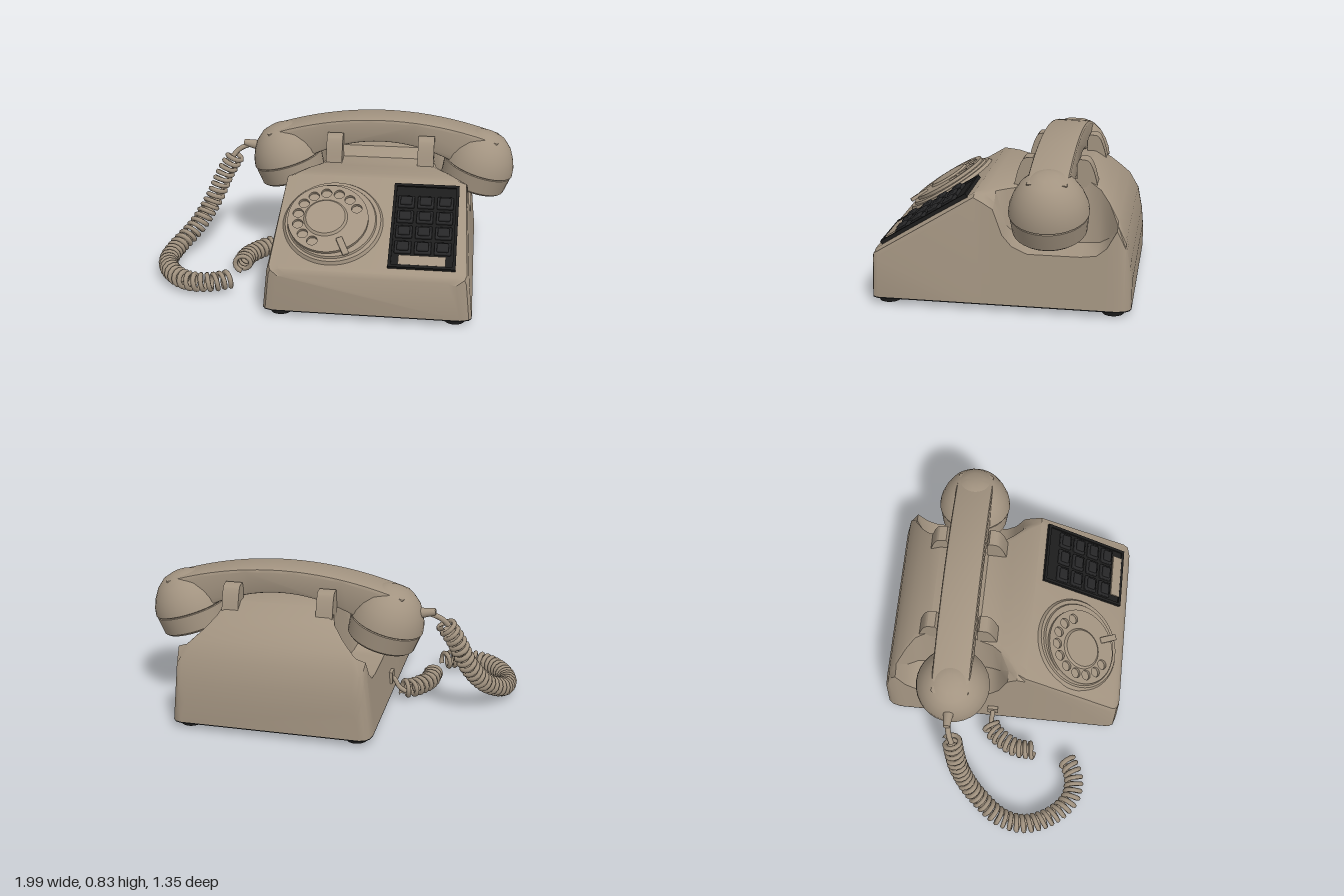
import * as THREE from 'three';
import { toCreasedNormals } from 'three/addons/utils/BufferGeometryUtils.js';
import { RoundedBoxGeometry } from 'three/addons/geometries/RoundedBoxGeometry.js';

const CX = 0.24;   // middle of body and handset
const HZ = -0.265; // handset axis
const tan = new THREE.MeshStandardMaterial({ color: 0xa39481 });
tan.name = 'tan plastic';
const black = new THREE.MeshStandardMaterial({ color: 0x1c1c1c });
black.name = 'black rubber';
const charcoal = new THREE.MeshStandardMaterial({ color: 0x262627 });
charcoal.name = 'charcoal key';
const V = (x, y, z) => new THREE.Vector3(x, y, z);

function add(parent, name, geometry, material, x = 0, y = 0, z = 0) {
  const mesh = new THREE.Mesh(geometry, material);
  mesh.name = name;
  mesh.position.set(x, y, z);
  parent.add(mesh);
  return mesh;
}

// Body sections, front to back: z, corner inset, shoulder y, foot x, foot y, top x, top y
const SECTIONS = [
  [0.67, 0.06, 0.22, 0.465, 0.24, 0.44, 0.25],
  [0.655, 0.015, 0.24, 0.505, 0.265, 0.48, 0.275],
  [0.63, 0, 0.25, 0.515, 0.28, 0.49, 0.291],
  [0.13, 0, 0.55, 0.49, 0.585, 0.465, 0.60],
  [0.08, 0, 0.56, 0.465, 0.58, 0.43, 0.605],
  [0.03, 0, 0.53, 0.44, 0.55, 0.39, 0.61],
  [-0.02, 0, 0.40, 0.40, 0.42, 0.345, 0.61],
  [-0.07, 0, 0.345, 0.37, 0.36, 0.31, 0.61],
  [-0.15, 0, 0.31, 0.35, 0.325, 0.29, 0.615],
  [-0.20, 0, 0.31, 0.345, 0.325, 0.285, 0.665],
  [-0.42, 0, 0.31, 0.345, 0.325, 0.285, 0.665],
  [-0.50, 0, 0.32, 0.36, 0.335, 0.31, 0.615],
  [-0.55, 0, 0.36, 0.40, 0.375, 0.36, 0.56],
  [-0.60, 0, 0.45, 0.46, 0.465, 0.43, 0.495],
  [-0.645, 0.01, 0.36, 0.495, 0.385, 0.47, 0.40],
  [-0.67, 0.03, 0.24, 0.485, 0.26, 0.465, 0.28],
  [-0.68, 0.06, 0.15, 0.465, 0.165, 0.45, 0.18],
];
const halfWidth = (y) => 0.55 - 0.105 * (y - 0.04);

function bodyGeometry() {
  const pos = [], idx = [];
  for (const [z, inset, ys, xf, yf, xt, yt] of SECTIONS) {
    const half = [[halfWidth(0.04) - inset, 0.04], [halfWidth(ys) - inset, ys], [xf, yf],
      [xt + 0.01, yt - 0.012], [xt - 0.02, yt]];
    const ring = [...half, ...half.slice().reverse().map(([x, y]) => [-x, y])];
    for (const [x, y] of ring) pos.push(CX + x, y, z);
  }
  const n = 10, last = (SECTIONS.length - 1) * n;
  for (let s = 0; s < SECTIONS.length - 1; s++) {
    for (let i = 0; i < n; i++) {
      const a = s * n + i, b = s * n + (i + 1) % n;
      idx.push(a, a + n, b, b, a + n, b + n);
    }
  }
  for (let i = 1; i < n - 1; i++) idx.push(0, i, i + 1, last, last + i + 1, last + i);
  const g = new THREE.BufferGeometry();
  g.setAttribute('position', new THREE.Float32BufferAttribute(pos, 3));
  g.setIndex(idx);
  return toCreasedNormals(g, 0.6);
}

// Plate following the bottom outline of the body
function basePlateGeometry() {
  const side = SECTIONS.map(([z, inset]) => [0.55 - inset, z]);
  const outline = [...side, ...side.slice().reverse().map(([x, z]) => [-x, z])];
  const shape = new THREE.Shape(outline.map(([x, z]) => new THREE.Vector2(CX + x, z)));
  return new THREE.ExtrudeGeometry(shape, { depth: 0.006, bevelEnabled: false }).rotateX(Math.PI / 2);
}

// Cradle prong, side profile extruded across x
function prongGeometry() {
  const s = new THREE.Shape();
  s.moveTo(0.225, 0.58);
  s.lineTo(0.212, 0.63);
  s.quadraticCurveTo(0.185, 0.75, 0.155, 0.752);
  s.lineTo(0.12, 0.755);
  s.lineTo(0.108, 0.73);
  s.lineTo(0.108, 0.58);
  const g = new THREE.ExtrudeGeometry(s, { depth: 0.09, bevelEnabled: false });
  return toCreasedNormals(g.translate(0, 0, -0.045).rotateY(-Math.PI / 2), 0.6);
}

function buildHandset() {
  const handset = new THREE.Group();
  handset.name = 'handset';
  const s = new THREE.Shape();
  s.moveTo(-0.42, 0.72);
  s.quadraticCurveTo(CX, 0.95, 0.90, 0.72);
  s.lineTo(0.84, 0.56);
  s.lineTo(0.68, 0.58);
  s.quadraticCurveTo(CX, 0.82, -0.20, 0.58);
  s.lineTo(-0.36, 0.56);
  const grip = new THREE.ExtrudeGeometry(s, { depth: 0.17, bevelThickness: 0.018, bevelSize: 0.018,
    bevelOffset: -0.018, bevelSegments: 2, curveSegments: 20 });
  add(handset, 'handle', toCreasedNormals(grip, 0.5), tan, 0, 0, HZ - 0.085);

  const profile = (pts) => pts.map(([r, y]) => new THREE.Vector2(r, y));
  const cap = toCreasedNormals(new THREE.LatheGeometry(
    profile([[0, 0], [0.175, 0], [0.188, 0.012], [0.199, 0.108], [0.194, 0.112]]), 32), 0.5);
  const dome = toCreasedNormals(new THREE.LatheGeometry(
    profile([[0.194, 0.112], [0.203, 0.118], [0.196, 0.16], [0.176, 0.21], [0.145, 0.26],
      [0.10, 0.30], [0.05, 0.318], [0, 0.32]]), 32), 0.5);
  for (const side of [-1, 1]) {
    const cup = new THREE.Group();
    cup.name = side < 0 ? 'mouthpiece' : 'earpiece';
    cup.position.set(CX + side * 0.52, 0.445, HZ);
    cup.rotation.z = -side * 0.29;
    add(cup, 'cupCap', cap, tan);
    add(cup, 'cupDome', dome, tan);
    handset.add(cup);
  }
  return handset;
}

// Dial and keypad share a frame lying on the sloped face: local z is its normal
function buildFace() {
  const face = new THREE.Group();
  face.name = 'slopedFace';
  face.position.set(0, 0.435, 0.397);
  face.rotation.x = -1.018;
  const disc = (r0, r1, h) => new THREE.CylinderGeometry(r0, r1, h, 48).rotateX(Math.PI / 2);
  add(face, 'dialPlate', disc(0.255, 0.27, 0.022), tan, 0.035, 0, 0.006);
  add(face, 'dialRing', disc(0.232, 0.24, 0.014), tan, 0.03, 0, 0.021);

  const wheel = new THREE.Shape();
  wheel.absarc(0, 0, 0.215, 0, Math.PI * 2);
  for (let i = 0; i < 10; i++) {
    const a = THREE.MathUtils.degToRad(25 + i * 24.5);
    const hole = new THREE.Path();
    hole.absarc(0.163 * Math.cos(a), 0.163 * Math.sin(a), 0.028, 0, Math.PI * 2, true);
    wheel.holes.push(hole);
  }
  const wheelGeo = new THREE.ExtrudeGeometry(wheel, { depth: 0.018, bevelEnabled: false, curveSegments: 24 });
  add(face, 'fingerWheel', toCreasedNormals(wheelGeo, 0.5), tan, 0.01, 0, 0.027);
  add(face, 'dialCentre', disc(0.105, 0.118, 0.012), tan, -0.002, 0, 0.05);
  const stop = add(face, 'fingerStop', new RoundedBoxGeometry(0.035, 0.11, 0.02, 2, 0.006), tan, 0.105, -0.175, 0.048);
  stop.rotation.z = 0.45;

  const keypad = new THREE.Group();
  keypad.name = 'keypad';
  keypad.position.set(0.52, 0.002, 0);
  face.add(keypad);
  add(keypad, 'keypadPanel', new THREE.BoxGeometry(0.35, 0.535, 0.02), black);
  for (const side of [-1, 1]) {
    add(keypad, 'rimSide', new THREE.BoxGeometry(0.016, 0.535, 0.022), black, side * 0.167, 0, 0.008);
    add(keypad, 'rimEnd', new THREE.BoxGeometry(0.35, 0.016, 0.022), black, 0, side * 0.2595, 0.008);
  }
  const base = new RoundedBoxGeometry(0.088, 0.076, 0.024, 1, 0.006);
  const top = new RoundedBoxGeometry(0.062, 0.052, 0.02, 2, 0.007);
  for (let row = 0; row < 4; row++) {
    for (let col = -1; col <= 1; col++) {
      add(keypad, 'keyBase', base, charcoal, col * 0.104, 0.148 - row * 0.097, 0.012);
      add(keypad, 'keyTop', top, charcoal, col * 0.104, 0.148 - row * 0.097, 0.026);
    }
  }
  add(keypad, 'labelPlate', new THREE.BoxGeometry(0.245, 0.058, 0.008), tan, 0, -0.222, 0.015);
  return face;
}

// Coiled wire wound around a smooth path
function coilGeometry(points, pitch) {
  const path = new THREE.CatmullRomCurve3(points);
  const turns = Math.round(path.getLength() / pitch), steps = turns * 12;
  const frames = path.computeFrenetFrames(steps);
  const wire = [];
  for (let i = 0; i <= steps; i++) {
    const a = (i / 12) * Math.PI * 2;
    wire.push(path.getPointAt(i / steps)
      .addScaledVector(frames.normals[i], 0.043 * Math.cos(a))
      .addScaledVector(frames.binormals[i], 0.043 * Math.sin(a)));
  }
  return new THREE.TubeGeometry(new THREE.CatmullRomCurve3(wire), steps, 0.014, 6);
}
const wireGeometry = (pts, r) => new THREE.TubeGeometry(new THREE.CatmullRomCurve3(pts), 12, r, 8);

function buildCord() {
  const cord = new THREE.Group();
  cord.name = 'cord';
  add(cord, 'longCoil', coilGeometry([V(-0.62, 0.56, -0.235), V(-0.68, 0.46, -0.215), V(-0.75, 0.30, -0.17),
    V(-0.83, 0.17, -0.08), V(-0.92, 0.085, 0.06), V(-0.938, 0.065, 0.2), V(-0.88, 0.065, 0.34),
    V(-0.77, 0.065, 0.44), V(-0.64, 0.067, 0.45), V(-0.54, 0.067, 0.40)], 0.037), tan);
  add(cord, 'shortCoil', coilGeometry([V(-0.51, 0.067, 0.21), V(-0.5, 0.067, 0.1), V(-0.46, 0.067, 0.02),
    V(-0.41, 0.07, -0.04), V(-0.37, 0.075, -0.06)], 0.037), tan);
  add(cord, 'handsetLead', wireGeometry([V(-0.48, 0.625, HZ), V(-0.56, 0.612, -0.262), V(-0.61, 0.585, -0.25),
    V(-0.64, 0.55, -0.235)], 0.015), tan);
  const relief = add(cord, 'strainRelief', new THREE.CylinderGeometry(0.018, 0.032, 0.11, 16), tan, -0.52, 0.622, HZ);
  relief.rotation.z = 1.4;
  add(cord, 'bodyLead', wireGeometry([V(-0.39, 0.05, -0.05), V(-0.35, 0.08, -0.055), V(-0.325, 0.12, -0.05),
    V(-0.295, 0.14, -0.05)], 0.014), tan);
  add(cord, 'socket', new THREE.BoxGeometry(0.03, 0.07, 0.06), tan, -0.3, 0.135, -0.05);
  return cord;
}

export function createModel() {
  const phone = new THREE.Group();
  phone.name = 'telephone';
  add(phone, 'body', bodyGeometry(), tan);
  add(phone, 'basePlate', basePlateGeometry(), black, 0, 0.04, 0);

  const foot = new THREE.CylinderGeometry(0.062, 0.056, 0.04, 24);
  const prong = prongGeometry();
  for (const side of [-1, 1]) {
    for (const end of [-1, 1]) {
      add(phone, 'foot', foot, black, CX + side * 0.46, 0.02, end * 0.585);
      const p = add(phone, 'cradleProng', prong, tan, CX + side * 0.257, 0, HZ);
      p.rotation.y = end > 0 ? 0 : Math.PI;
    }
  }
  phone.add(buildHandset(), buildFace(), buildCord());
  return phone;
}
